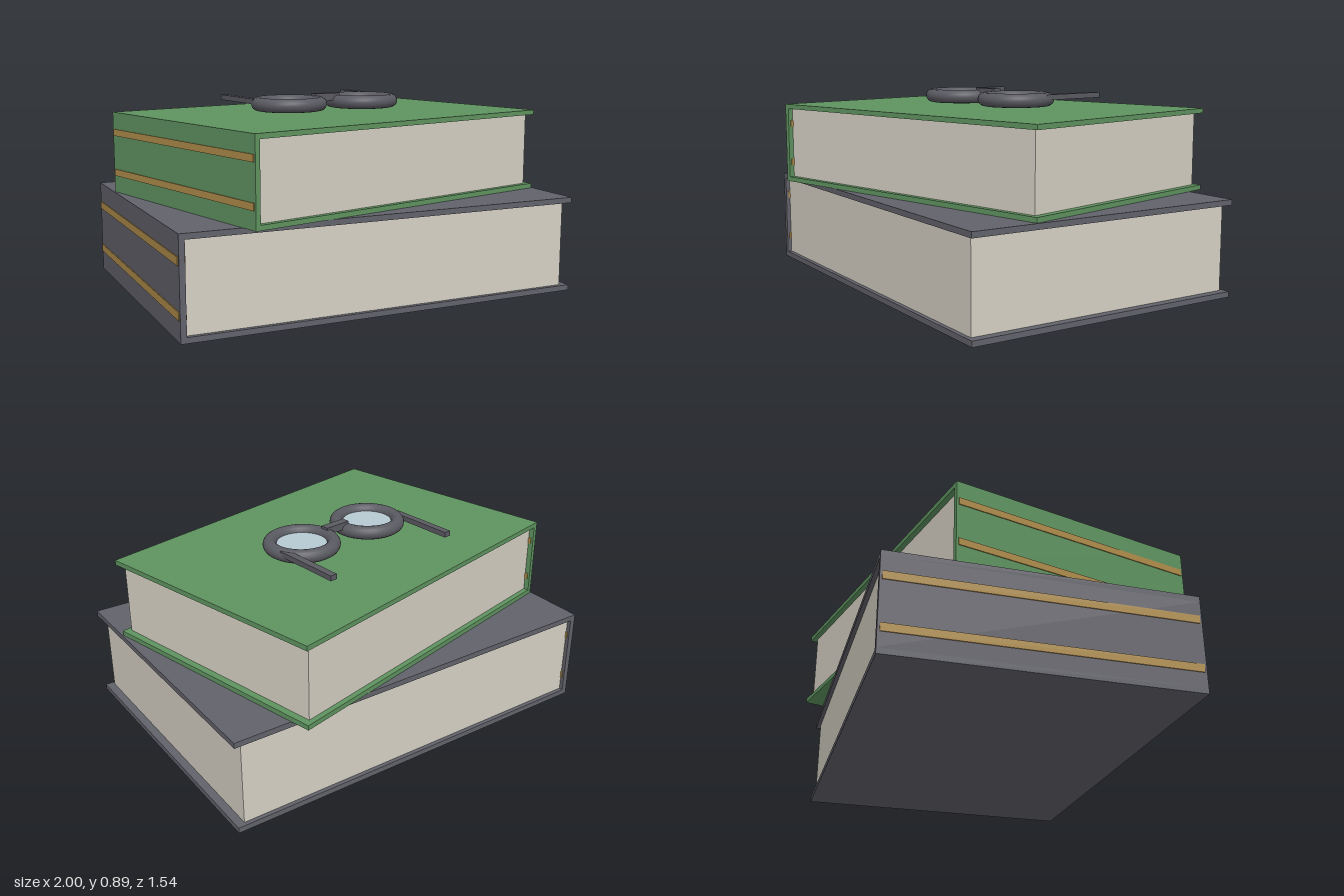
import * as THREE from 'three';

const mat = (name, color) => {
  const m = new THREE.MeshStandardMaterial({ color });
  m.name = name;
  return m;
};

export function createModel() {
  const grey = mat('charcoal cloth', 0x62626b);
  const green = mat('green cloth', 0x5f9460);
  const paper = mat('paper', 0xd6d1c5);
  const gold = mat('gold band', 0xb08d4a);
  const frame = mat('spectacle frame', 0x5a5a62);
  const glass = mat('lens glass', 0xb6c9d2);

  const add = (parent, name, geometry, material, x, y, z) => {
    const mesh = new THREE.Mesh(geometry, material);
    mesh.name = name;
    mesh.position.set(x, y, z);
    parent.add(mesh);
    return mesh;
  };
  const box = (parent, name, material, w, h, d, x, y, z) =>
    add(parent, name, new THREE.BoxGeometry(w, h, d), material, x, y, z);

  // Hardback book with its spine on -x and the pages set back on the other sides
  function book(name, cloth, { w, h, d, board, insetX, insetZ, bandHeight }) {
    const g = new THREE.Group();
    g.name = name;
    box(g, 'bottomCover', cloth, w, board, d, 0, board / 2, 0);
    box(g, 'topCover', cloth, w, board, d, 0, h - board / 2, 0);
    box(g, 'spine', cloth, board, h - 2 * board, d, -w / 2 + board / 2, h / 2, 0);
    const pageW = w - board - insetX;
    box(g, 'pages', paper, pageW, h - 2 * board, d - 2 * insetZ,
      -w / 2 + board + pageW / 2, h / 2, 0);
    // Raised bands wrap slightly past both faces of the spine
    for (const t of [0.25, 0.75]) {
      box(g, 'spineBand', gold, board + 0.008, bandHeight, d - 0.02,
        -w / 2 + board / 2, h * t, 0);
    }
    return g;
  }

  const model = new THREE.Group();
  model.name = 'booksAndSpectacles';

  const lower = book('lowerBook', grey,
    { w: 1.85, h: 0.435, d: 1.325, board: 0.025, insetX: 0.037, insetZ: 0.019, bandHeight: 0.035 });
  lower.rotation.y = -0.12;
  const upper = book('upperBook', green,
    { w: 1.61, h: 0.375, d: 1.153, board: 0.022, insetX: 0.031, insetZ: 0.024, bandHeight: 0.031 });
  upper.rotation.y = 0.12;
  upper.position.y = 0.435;
  model.add(lower, upper);

  // Round spectacles lying on the upper book
  const spectacles = new THREE.Group();
  spectacles.name = 'spectacles';
  spectacles.position.y = 0.853;
  for (const side of [-1, 1]) {
    const rim = add(spectacles, 'rim', new THREE.TorusGeometry(0.143, 0.031, 16, 48),
      frame, side * 0.198, 0, 0);
    rim.rotation.x = Math.PI / 2;
    add(spectacles, 'lens', new THREE.CylinderGeometry(0.12, 0.12, 0.008, 40),
      glass, side * 0.198, 0, 0);
    box(spectacles, 'templeArm', frame, 0.033, 0.024, 0.33, side * 0.342, 0.012, -0.213);
  }
  box(spectacles, 'bridge', frame, 0.13, 0.034, 0.04, 0, 0.024, 0);
  model.add(spectacles);

  return model;
}
